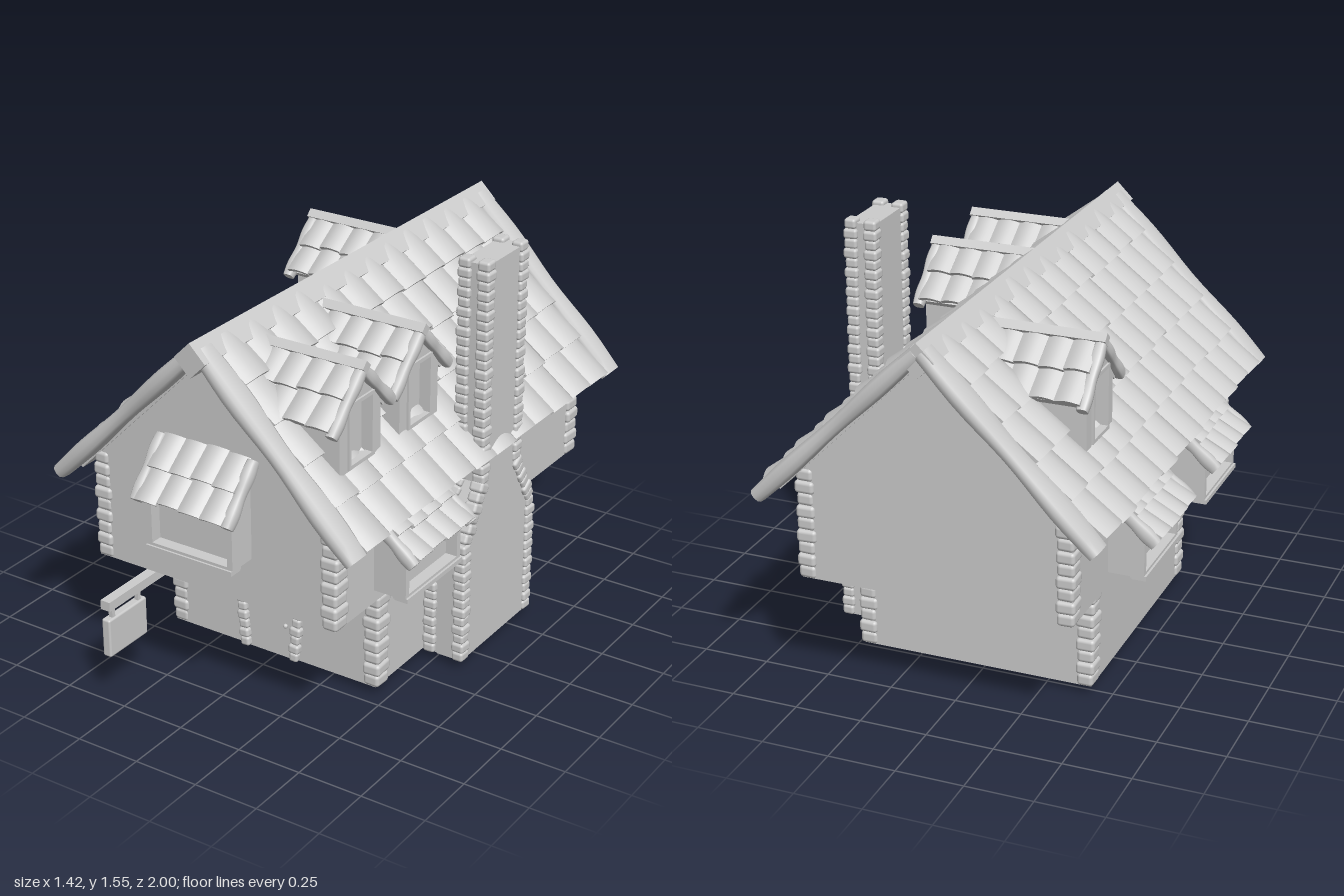
import * as THREE from 'three';
import { RoundedBoxGeometry } from 'three/addons/geometries/RoundedBoxGeometry.js';

const material = new THREE.MeshStandardMaterial({ color: 0xcccccc, roughness: 0.9 });
let seed = 7;
const rand = () => (seed = (seed * 16807) % 2147483647) / 2147483647;
const jitter = (a) => (rand() - 0.5) * 2 * a;

function add(parent, name, geometry, x = 0, y = 0, z = 0) {
  const mesh = new THREE.Mesh(geometry, material);
  mesh.name = name;
  mesh.position.set(x, y, z);
  parent.add(mesh);
  return mesh;
}

function group(parent, name, x = 0, y = 0, z = 0, yaw = 0, pitch = 0) {
  const g = new THREE.Group();
  g.name = name;
  g.position.set(x, y, z);
  g.rotation.set(pitch, yaw, 0, 'YXZ');
  parent.add(g);
  return g;
}

const box = (x0, x1, y0, y1, z0, z1) =>
  new THREE.BoxGeometry(x1 - x0, y1 - y0, z1 - z0).translate((x0 + x1) / 2, (y0 + y1) / 2, (z0 + z1) / 2);

const polygon = (points) => new THREE.Shape(points.map(([x, y]) => new THREE.Vector2(x, y)));
const extrude = (shape, depth) => new THREE.ExtrudeGeometry(shape, { depth, bevelEnabled: false });
const rect = (w, y0, y1) => [[-w, y0], [w, y0], [w, y1], [-w, y1]];

// Rectangular window surround with an open middle
function frame(w, y0, y1, border, depth) {
  const shape = polygon(rect(w, y0, y1));
  shape.holes.push(polygon(rect(w - border, y0 + border, y1 - border)));
  return extrude(shape, depth);
}

// Stones stacked along a polyline, each aligned to its segment
function stones(parent, name, points, width, depth, step) {
  const g = group(parent, name);
  const up = new THREE.Vector3(0, 1, 0);
  const path = points.map((p) => new THREE.Vector3(...p));
  for (let i = 1; i < path.length; i++) {
    const dir = path[i].clone().sub(path[i - 1]);
    const n = Math.max(1, Math.round(dir.length() / step));
    const h = dir.length() / n;
    for (let k = 0; k < n; k++) {
      const wide = k % 2 ? 1.06 : 0.94;
      const geo = new RoundedBoxGeometry(width * wide + jitter(0.003), h * 1.02, depth * wide + jitter(0.003), 2, h * 0.3);
      const stone = add(g, 'stone', geo);
      stone.position.lerpVectors(path[i - 1], path[i], (k + 0.5) / n);
      stone.quaternion.setFromUnitVectors(up, dir.clone().normalize());
      stone.rotateY(jitter(0.06));
    }
  }
}

// Rounded, slightly wavy bargeboard running down local +z
function barge(parent, x, width, thick, length) {
  const geo = new THREE.CylinderGeometry(0.5, 0.5, 1, 12, 14).rotateX(Math.PI / 2);
  const p = geo.attributes.position;
  for (let i = 0; i < p.count; i++) {
    const t = p.getZ(i) + 0.5;
    const swell = 0.93 + 0.1 * Math.sin(t * 11 - 1);
    const square = (v) => Math.sign(v) * Math.pow(Math.abs(v) * 2, 0.65) / 2;
    p.setXYZ(i, square(p.getX(i)) * width * swell, square(p.getY(i)) * thick * swell, t * length);
  }
  geo.computeVertexNormals();
  return add(parent, 'bargeboard', geo, x, thick * 0.15, 0);
}

// Barrel tiles: width along local x, rows running down local +z
function tiles(parent, width, length, cols, rows, arch = 0.022) {
  const w = width / cols, l = length / rows;
  add(parent, 'roofDeck', box(-width / 2, width / 2, -0.025, 0, 0, length * 0.98));
  for (let r = 0; r < rows; r++) for (let c = 0; c < cols; c++) {
    const geo = new THREE.BoxGeometry(w * 1.02, 0.018, l * 1.12, 8, 1, 3);
    const p = geo.attributes.position;
    const lift = jitter(0.003);
    for (let i = 0; i < p.count; i++) {
      const across = Math.cos(Math.PI * p.getX(i) / w), along = p.getZ(i) / l + 0.5;
      p.setY(i, p.getY(i) + arch * across + 0.024 * along + lift);
    }
    geo.computeVertexNormals();
    add(parent, 'roofTile', geo, -width / 2 + (c + 0.5) * w, 0.004, (r + 0.5) * l + jitter(0.005));
  }
}

// Projecting window facing local +z under a tiled awning
function bay(parent, name, x, z, yaw, w, y0, y1, depth, pitch, length, awningTop) {
  const g = group(parent, name, x, 0, z, yaw);
  const d = depth - 0.045;
  const side = polygon([[0, y0], [-d, y0], [-d, y1], [0, awningTop - 0.03]]);
  add(g, 'bayBody', extrude(side, 2 * w - 0.02).rotateY(Math.PI / 2).translate(-w + 0.01, 0, 0));
  add(g, 'windowFrame', frame(w, y0, y1, 0.022, 0.05), 0, 0, depth - 0.05);
  add(g, 'windowSill', box(-w, w, y0 - 0.005, y0 + 0.012, d, depth + 0.008));
  const roof = group(g, 'awning', 0, awningTop, 0, 0, pitch);
  tiles(roof, 2 * w, length, 4, 2, 0.014);
  for (const s of [-1, 1]) barge(roof, s * (w + 0.01), 0.045, 0.05, length + 0.01);
}

// Gabled roof window facing local +z
function dormer(parent, x, z, yaw) {
  const g = group(parent, 'dormer', x, 0, z, yaw);
  const outline = [[-0.125, 0.985], [0.125, 0.985], [0.125, 1.19], [0, 1.315], [-0.125, 1.19]];
  const front = polygon(outline);
  front.holes.push(polygon(rect(0.07, 1.0, 1.225)));
  add(g, 'dormerFront', extrude(front, 0.04), 0, 0, -0.04);
  add(g, 'dormerBody', extrude(polygon(outline), 0.28), 0, 0, -0.32);
  add(g, 'windowFrame', frame(0.078, 0.993, 1.233, 0.014, 0.03), 0, 0, -0.022);
  for (const s of [-1, 1]) {
    const slope = group(g, 'dormerRoof', 0, 1.325, -0.18, s * Math.PI / 2, Math.PI / 4);
    tiles(slope, 0.36, 0.23, 4, 2, 0.014);
    barge(slope, -s * 0.185, 0.045, 0.045, 0.25);
  }
  const ridge = add(g, 'dormerRidge', new THREE.BoxGeometry(0.034, 0.034, 0.42), 0, 1.345, -0.185);
  ridge.rotation.z = Math.PI / 4;
}

export function createModel() {
  seed = 7;
  const house = new THREE.Group();
  house.name = 'cottage';
  const cx = 0.015;

  // Ground floor and overhanging gabled storey
  add(house, 'groundFloor', box(-0.43, 0.455, 0.035, 0.47, -0.535, 0.45));
  const gable = polygon([[-0.49, 0.455], [0.515, 0.455], [0.515, 0.86], [cx, 1.36], [-0.49, 0.86]]);
  add(house, 'upperFloor', extrude(gable, 1.68), 0, 0, -0.88);

  // Corner stones of both storeys
  for (const s of [-1, 1]) for (const f of [-1, 1]) {
    const lx = cx + s * 0.422, lz = f > 0 ? 0.418 : -0.505;
    stones(house, 'lowerCornerStones', [[lx, 0.035, lz], [lx, 0.455, lz]], 0.068, 0.08, 0.046);
    const ux = cx + s * 0.478, uz = f > 0 ? 0.77 : -0.85;
    stones(house, 'upperCornerStones', [[ux, 0.455, uz], [ux, 0.87, uz]], 0.068, 0.08, 0.046);
  }

  // Main roof
  for (const s of [-1, 1]) {
    const slope = group(house, 'mainRoof', cx, 1.385, -0.045, s * Math.PI / 2, Math.PI / 4);
    tiles(slope, 1.7, 0.84, 12, 5);
    for (const e of [-0.9, 0.89]) barge(slope, -s * e, 0.105, 0.065, 0.86);
  }
  const ridge = add(house, 'ridgeBeam', new THREE.BoxGeometry(0.09, 0.09, 1.89), cx, 1.37, -0.04);
  ridge.rotation.z = Math.PI / 4;

  // Roof windows
  dormer(house, 0.47, 0.58, Math.PI / 2);
  dormer(house, 0.47, 0.21, Math.PI / 2);
  dormer(house, -0.44, -0.51, -Math.PI / 2);

  // Bay windows
  bay(house, 'frontBay', 0.005, 0.8, 0, 0.18, 0.635, 0.86, 0.125, 0.87, 0.235, 1.01);
  bay(house, 'rightBay', 0.515, 0.39, Math.PI / 2, 0.18, 0.505, 0.7, 0.135, 0.7, 0.21, 0.795);
  for (const z of [0.29, -0.375])
    bay(house, 'leftBay', -0.49, z, -Math.PI / 2, 0.18, 0.505, 0.7, 0.135, 0.7, 0.22, 0.795);

  // Chimney: wide hearth tapering to a tall stack
  const chimney = group(house, 'chimney');
  const side = polygon([[0.13, 0.035], [0.13, 0.51], [0.015, 0.71], [0.015, 1.54],
    [-0.24, 1.54], [-0.24, 0.71], [-0.355, 0.51], [-0.355, 0.035]].map(([z, y]) => [-z, y]));
  add(chimney, 'chimneyBody', extrude(side, 0.105).rotateY(Math.PI / 2).translate(0.515, 0, 0));
  add(chimney, 'hearthBack', box(0.44, 0.52, 0.035, 0.5, -0.35, 0.125));
  for (const f of [-1, 1]) {
    const column = (xLow, xHigh) => [[xLow, 0.035, -0.1125 + f * 0.228], [xLow, 0.51, -0.1125 + f * 0.228],
      [xHigh, 0.71, -0.1125 + f * 0.115], [xHigh, 1.555, -0.1125 + f * 0.115]];
    stones(chimney, 'outerChimneyStones', column(0.607, 0.607), 0.05, 0.055, 0.036);
    stones(chimney, 'innerChimneyStones', column(0.485, 0.53), 0.05, 0.055, 0.036);
  }

  // Loose stones at the foot of the chimney
  const rubble = group(house, 'rubble');
  for (let i = 0; i < 9; i++) {
    const rock = add(rubble, 'rock', new THREE.IcosahedronGeometry(0.018, 1), 0.41 + i * 0.02, 0.027, -0.1 + jitter(0.13));
    rock.scale.set(1.2, i % 3 ? 0.7 : 1.4, 1);
  }

  // Doorway with leaning stone jambs
  const door = group(house, 'doorway');
  const doorShape = polygon([[-0.1, 0.035], [0.11, 0.035], [0.135, 0.335], [0.005, 0.35], [-0.125, 0.335]]);
  add(door, 'doorPanel', extrude(doorShape, 0.01), 0, 0, 0.445);
  stones(door, 'doorStones', [[-0.1, 0.035, 0.45], [-0.125, 0.325, 0.45]], 0.042, 0.05, 0.036);
  stones(door, 'doorStones', [[0.11, 0.035, 0.45], [0.135, 0.325, 0.45]], 0.042, 0.05, 0.036);
  stones(door, 'doorStones', [[-0.135, 0.338, 0.45], [0.005, 0.35, 0.45], [0.145, 0.338, 0.45]], 0.042, 0.05, 0.034);
  add(door, 'doorHandle', new THREE.SphereGeometry(0.009, 10, 8), 0.075, 0.17, 0.462);

  // Diagonal braces under the overhang
  for (const x of [-0.215, 0.235]) for (const [z0, z1] of [[0.44, 0.67], [-0.525, -0.75]]) {
    const brace = add(house, 'brace', new THREE.BoxGeometry(0.038, 0.03, Math.hypot(z1 - z0, 0.15)), x, 0.395, (z0 + z1) / 2);
    brace.rotation.x = -Math.atan2(0.15, z1 - z0);
  }

  // Hanging sign on a pole
  const sign = group(house, 'hangingSign', -0.315);
  add(sign, 'signPole', box(-0.02, 0.02, 0.372, 0.408, 0.44, 1.0));
  for (const z of [0.82, 0.965]) add(sign, 'signHanger', box(-0.008, 0.008, 0.325, 0.375, z - 0.008, z + 0.008));
  add(sign, 'signBoard', new RoundedBoxGeometry(0.036, 0.15, 0.212, 2, 0.008), -0.003, 0.257, 0.893);

  return house;
}
